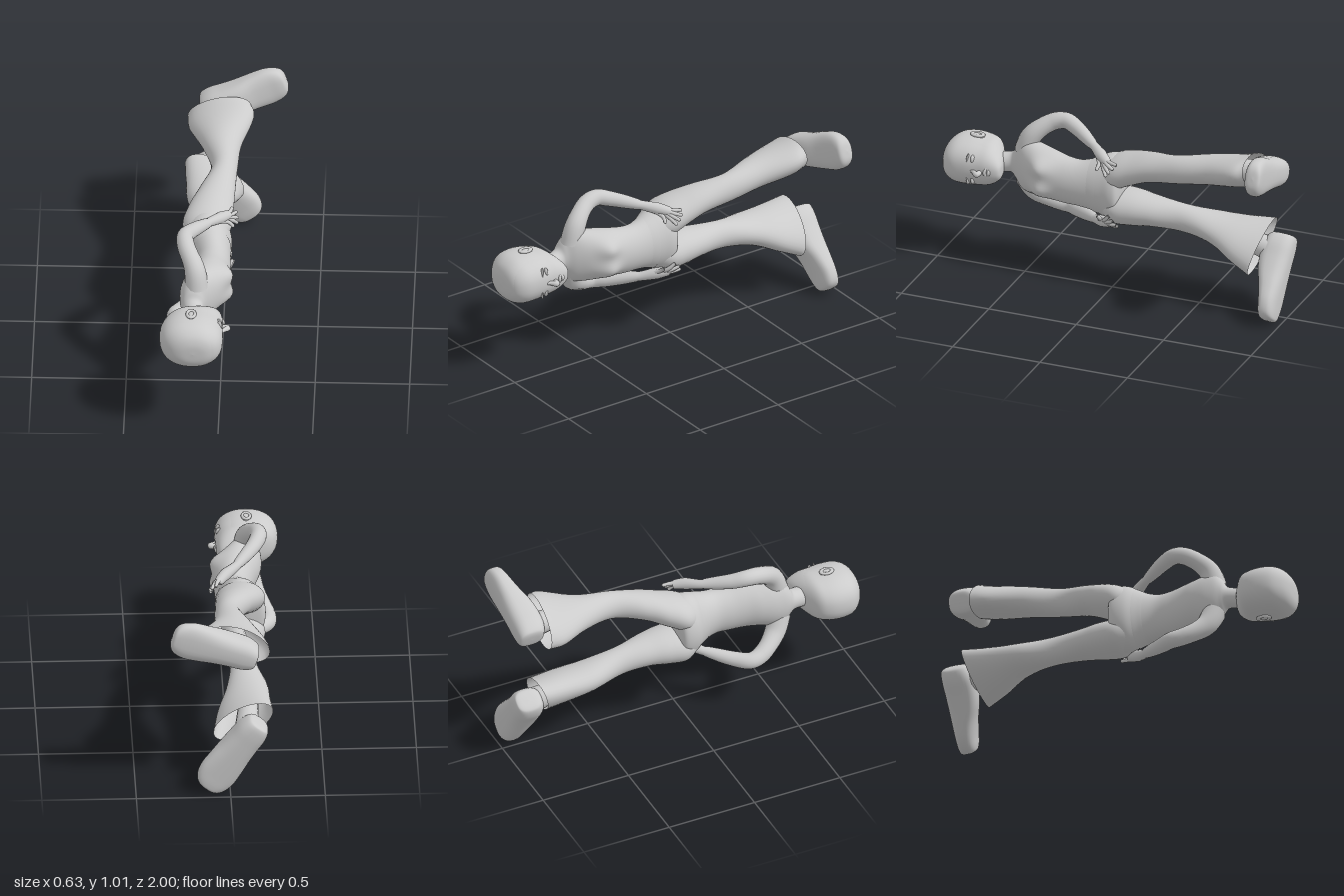
import * as THREE from 'three';

const V = (p) => new THREE.Vector3(...p);
const material = new THREE.MeshStandardMaterial({ color: 0xcccccc, side: THREE.DoubleSide });

function part(parent, name, geometry) {
  const mesh = new THREE.Mesh(geometry, material);
  mesh.name = name;
  parent.add(mesh);
  return mesh;
}

// Smooth skin over oval sections [x, y, z, rx, ry, turn, slopeX, slopeY], listed with rising z.
// power > 2 makes the ovals boxier; shape(v) may move each point.
function loft(sections, { power = 2, rings = 48, sides = 32, shape = (v) => v } = {}) {
  const spline = (pick) => new THREE.CatmullRomCurve3(sections.map((s) => V(pick(s))), false, 'catmullrom', 0.5);
  const mid = spline((s) => s.slice(0, 3));
  const size = spline((s) => [s[3], s[4], s[5] ?? 0]);
  const slope = spline((s) => [s[6] ?? 0, s[7] ?? 0, 0]);
  const pos = [], index = [];
  const bend = (v) => Math.sign(v) * Math.abs(v) ** (2 / power);
  for (let i = 0; i <= rings; i++) {
    const c = mid.getPoint(i / rings), r = size.getPoint(i / rings), k = slope.getPoint(i / rings);
    for (let j = 0; j < sides; j++) {
      const a = (j / sides) * Math.PI * 2;
      const u = bend(Math.cos(a)) * Math.max(r.x, 0.0001), v = bend(Math.sin(a)) * Math.max(r.y, 0.0001);
      const x = u * Math.cos(r.z) - v * Math.sin(r.z), y = u * Math.sin(r.z) + v * Math.cos(r.z);
      pos.push(...shape(V([c.x + x, c.y + y, c.z + k.x * x + k.y * y])).toArray());
      if (i < rings) {
        const p = i * sides + j, q = i * sides + ((j + 1) % sides);
        index.push(p, q, q + sides, p, q + sides, p + sides);
      }
    }
  }
  const g = new THREE.BufferGeometry();
  g.setAttribute('position', new THREE.Float32BufferAttribute(pos, 3));
  g.setIndex(index);
  g.computeVertexNormals();
  return g;
}

// Round limb along a curve, with a radius that varies and rounded ends.
function limb(points, radii, rings = 32, sides = 14) {
  const curve = new THREE.CatmullRomCurve3(points.map(V));
  const g = new THREE.TubeGeometry(curve, rings, 1, sides);
  const p = g.attributes.position, v = new THREE.Vector3();
  for (let i = 0; i <= rings; i++) {
    const t = i / rings, c = curve.getPointAt(t);
    const f = t * (radii.length - 1), k = Math.min(Math.floor(f), radii.length - 2);
    const r = THREE.MathUtils.lerp(radii[k], radii[k + 1], f - k) * Math.sqrt(1 - Math.abs(2 * t - 1) ** 40);
    for (let j = 0; j <= sides; j++) {
      const n = i * (sides + 1) + j;
      v.fromBufferAttribute(p, n).sub(c).multiplyScalar(r).add(c);
      p.setXYZ(n, v.x, v.y, v.z);
    }
  }
  return g;
}

function blob(parent, name, at, radii, turn = [0, 0, 0]) {
  const mesh = part(parent, name, new THREE.SphereGeometry(1, 24, 16));
  mesh.position.set(...at);
  mesh.scale.set(...radii);
  mesh.rotation.set(...turn);
}

// Arm bent at the elbow, with the hand resting on the hip.
function addArm(parent, name, joints, wrist, palm, tips, thumb) {
  const arm = new THREE.Group();
  arm.name = name;
  parent.add(arm);
  const between = (a, b, t = 0.5) => a.map((v, i) => v + (b[i] - v) * t);
  const cuff = between(wrist, joints[joints.length - 1], 0.35);
  part(arm, 'armLength', limb([...joints, wrist], [0.066, 0.058, 0.049, 0.046, 0.042, 0.036, 0.026], 48, 18));
  part(arm, 'palm', limb([cuff, wrist, palm, between(palm, tips[1])], [0.022, 0.026, 0.032, 0.024]));
  for (const tip of tips) {
    const knuckle = between(palm, tip);
    knuckle[0] += 0.012;
    part(arm, 'finger', limb([palm, knuckle, tip], [0.013, 0.012, 0.009], 20, 8));
  }
  part(arm, 'thumb', limb([wrist, between(palm, thumb), thumb], [0.014, 0.013, 0.009], 20, 8));
}

// Tall-backed shoe with a flat sole, placed by its heel and heading.
function addShoe(parent, name, heel, heading, pitch) {
  const g = loft([
    [0, 0.075, 0, 0, 0],
    [0, 0.075, 0.004, 0.045, 0.055],
    [0, 0.079, 0.02, 0.066, 0.074],
    [0, 0.085, 0.07, 0.082, 0.085],
    [0, 0.086, 0.14, 0.086, 0.086],
    [0, 0.079, 0.22, 0.092, 0.079],
    [0, 0.064, 0.30, 0.1, 0.064],
    [0, 0.053, 0.38, 0.103, 0.053],
    [0, 0.047, 0.44, 0.085, 0.047],
    [0, 0.043, 0.468, 0.052, 0.036],
    [0, 0.04, 0.475, 0, 0],
  ], { power: 2.7 });
  const forward = V([Math.cos(heading), Math.sin(heading), pitch]).normalize();
  const across = V([0, 0, 1]).cross(forward).normalize();
  const up = forward.clone().cross(across);
  g.applyMatrix4(new THREE.Matrix4().makeBasis(across, up, forward).setPosition(...heel));
  part(parent, name, g);
}

// Head, facing +x with the crown toward +z
function addHead(parent) {
  const head = new THREE.Group();
  head.name = 'head';
  parent.add(head);
  const skull = loft([
    [-0.04, 0.54, 0.648, 0, 0], [-0.04, 0.54, 0.652, 0.034, 0.036], [-0.075, 0.54, 0.677, 0.085, 0.073],
    [-0.12, 0.54, 0.725, 0.138, 0.11], [-0.138, 0.538, 0.78, 0.157, 0.123], [-0.142, 0.537, 0.85, 0.164, 0.13],
    [-0.138, 0.535, 0.92, 0.155, 0.124], [-0.13, 0.533, 0.968, 0.12, 0.096], [-0.125, 0.53, 0.991, 0.07, 0.055],
    [-0.125, 0.53, 0.996, 0, 0],
  ], { power: 2.3, sides: 40 });
  part(head, 'skull', skull);
  // Close hair: the skull's form, a little wider and set back from the face
  part(head, 'hair', skull.clone().translate(0, -0.537, 0).scale(1, 1.025, 1).translate(-0.008, 0.537, 0.004));

  part(head, 'nose', limb([[0.006, 0.536, 0.81], [0.022, 0.536, 0.785], [0.045, 0.535, 0.76], [0.015, 0.535, 0.752]],
    [0.009, 0.011, 0.016, 0.014]));
  for (const [name, x, z, w, drop] of [['upperLip', 0.021, 0.722, 0.034, 0.006], ['lowerLip', 0.016, 0.704, 0.028, -0.006]]) {
    part(head, name, limb([[x - 0.018, 0.54 - w, 0.713], [x, 0.54, z + drop / 3], [x - 0.018, 0.54 + w, 0.713]],
      [0.004, 0.01, 0.004], 24, 10));
  }
  for (const side of [-1, 1]) {
    const y = 0.537 + side * 0.06;
    blob(head, 'eye', [-0.002, y, 0.8], [0.018, 0.024, 0.011]);
    blob(head, 'eyebrow', [0.003, y, 0.828], [0.014, 0.032, 0.005], [side * -0.15, 0, 0]);
    // Ear shell with a raised rim
    blob(head, 'ear', [-0.145, 0.537 + side * 0.128, 0.825], [0.022, 0.014, 0.036], [side * -0.15, 0, 0]);
    const rim = part(head, 'earRim', new THREE.TorusGeometry(0.021, 0.008, 10, 24));
    rim.position.set(-0.147, 0.537 + side * 0.137, 0.83);
    rim.rotation.x = Math.PI / 2;
    rim.scale.y = 1.45;
  }
}

export function createModel() {
  const model = new THREE.Group();
  model.name = 'recliningFigure';

  // Torso from the seat to the neck, with the bust swelling softly out of the chest
  const swell = (v) => {
    if (v.x < -0.08) return v;
    const front = Math.min(1, (v.x + 0.08) / 0.08);
    for (const y of [0.495, 0.635]) {
      v.x += 0.036 * front * Math.exp(-(((v.y - y) / 0.055) ** 2) - ((v.z - 0.41) / 0.065) ** 2);
    }
    return v;
  };
  part(model, 'torso', loft([
    [-0.09, 0.547, -0.046, 0, 0], [-0.09, 0.547, -0.043, 0.06, 0.09], [-0.088, 0.547, -0.03, 0.117, 0.165],
    [-0.088, 0.547, 0.005, 0.133, 0.19], [-0.085, 0.55, 0.06, 0.127, 0.18], [-0.065, 0.55, 0.12, 0.106, 0.15],
    [-0.052, 0.548, 0.2, 0.095, 0.13], [-0.056, 0.55, 0.28, 0.1, 0.13], [-0.068, 0.56, 0.36, 0.108, 0.135],
    [-0.084, 0.565, 0.43, 0.118, 0.14], [-0.108, 0.565, 0.5, 0.108, 0.148], [-0.13, 0.565, 0.56, 0.084, 0.142],
    [-0.143, 0.562, 0.6, 0.062, 0.095], [-0.143, 0.555, 0.63, 0.054, 0.058], [-0.13, 0.545, 0.7, 0.055, 0.055],
  ], { rings: 84, sides: 56, shape: swell }));
  part(model, 'waistband', loft([
    [-0.074, 0.55, 0.09, 0.118, 0.167], [-0.067, 0.55, 0.115, 0.11, 0.155], [-0.062, 0.55, 0.14, 0.103, 0.144],
  ], { rings: 8, sides: 40 }));

  // Flared trouser legs
  part(model, 'upperTrouserLeg', loft([
    [-0.045, 0.81, -0.805, 0.176, 0.09, 0.33, 0.02, 0.12], [-0.032, 0.797, -0.72, 0.176, 0.087, 0.28],
    [-0.025, 0.776, -0.55, 0.106, 0.082, 0.15], [-0.006, 0.75, -0.37, 0.07, 0.078], [-0.04, 0.72, -0.21, 0.096, 0.08],
    [-0.07, 0.682, -0.1, 0.12, 0.09], [-0.087, 0.645, 0, 0.129, 0.097], [-0.085, 0.625, 0.09, 0.08, 0.07],
  ]));
  part(model, 'lowerTrouserLeg', loft([
    [-0.072, 0.355, -0.83, 0.18, 0.092, -0.6, 0, -0.25], [-0.08, 0.375, -0.7, 0.15, 0.088, -0.45, 0, -0.1],
    [-0.1, 0.405, -0.55, 0.11, 0.078, -0.2], [-0.09, 0.432, -0.37, 0.073, 0.076], [-0.08, 0.447, -0.21, 0.099, 0.083],
    [-0.083, 0.448, -0.1, 0.122, 0.096], [-0.087, 0.447, 0, 0.129, 0.097], [-0.085, 0.47, 0.09, 0.08, 0.07],
  ]));

  // Ankles and shoes
  part(model, 'upperAnkle', limb([[-0.02, 0.775, -0.55], [-0.04, 0.8, -0.72], [-0.05, 0.8, -0.88]], [0.06, 0.055, 0.07]));
  part(model, 'lowerAnkle', limb([[-0.1, 0.4, -0.55], [-0.1, 0.37, -0.72], [-0.09, 0.33, -0.9]], [0.06, 0.055, 0.07]));
  addShoe(model, 'upperShoe', [-0.143, 0.78, -0.968], 0.325, 0);
  addShoe(model, 'lowerShoe', [-0.158, 0.402, -0.998], -0.92, 0.035);

  // Arms with hands on the hips
  addArm(model, 'upperArm',
    [[-0.125, 0.62, 0.552], [-0.138, 0.735, 0.512], [-0.186, 0.81, 0.41], [-0.193, 0.822, 0.34], [-0.165, 0.805, 0.27]],
    [-0.07, 0.765, 0.13], [-0.005, 0.748, 0.06],
    [[0.045, 0.735, -0.045], [0.068, 0.715, -0.035], [0.077, 0.692, -0.015], [0.075, 0.67, 0.005]], [0.06, 0.69, 0.07]);
  addArm(model, 'lowerArm',
    [[-0.14, 0.5, 0.557], [-0.178, 0.395, 0.512], [-0.235, 0.325, 0.41], [-0.245, 0.308, 0.34], [-0.2, 0.31, 0.27]],
    [-0.085, 0.335, 0.13], [-0.02, 0.362, 0.06],
    [[0.02, 0.365, -0.045], [0.045, 0.385, -0.04], [0.055, 0.41, -0.025], [0.05, 0.432, 0]], [0.045, 0.42, 0.07]);

  addHead(model);
  return model;
}
